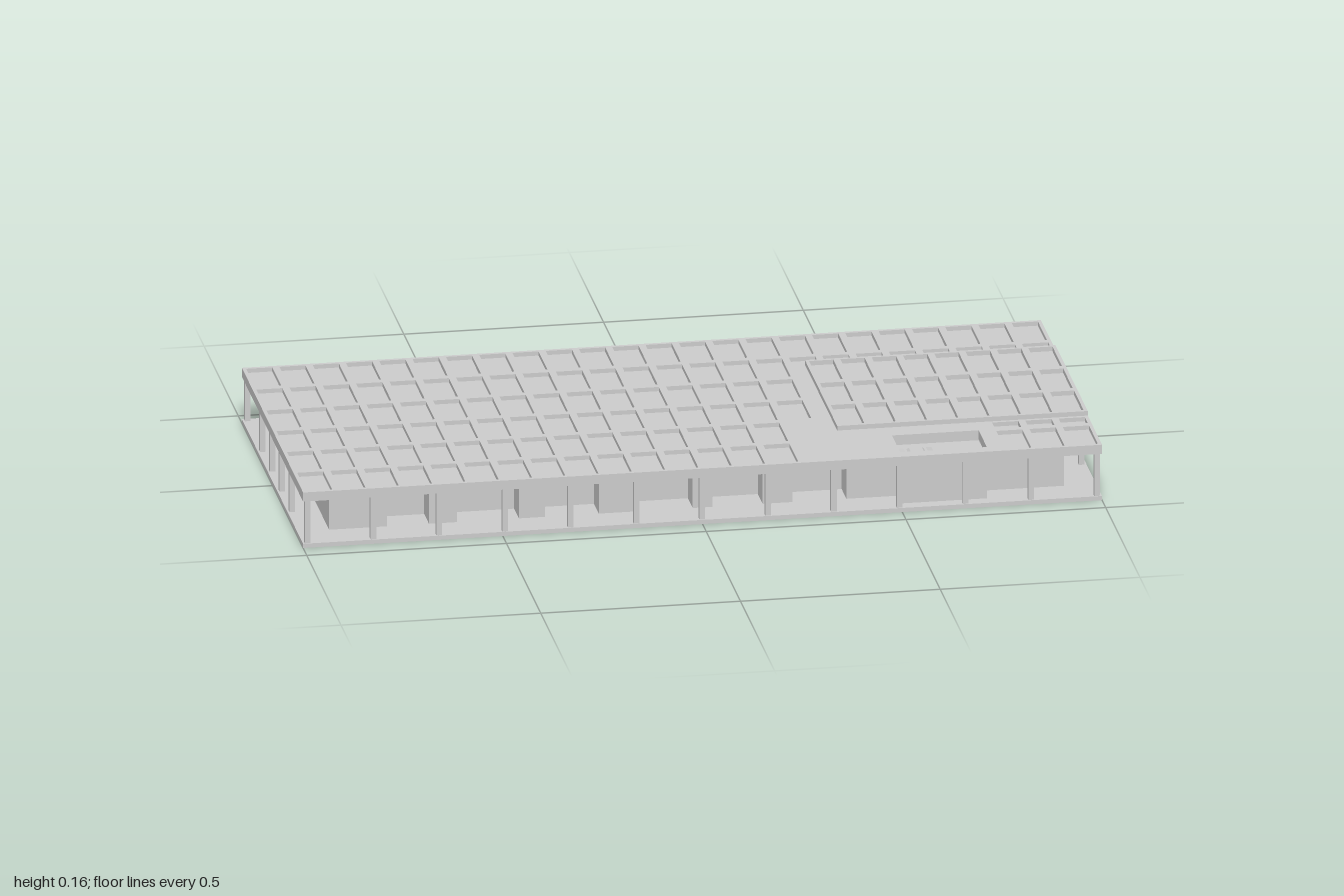
import * as THREE from 'three';

const material = new THREE.MeshStandardMaterial({ color: 0xcccccc, flatShading: true });

// Box given by its lower and upper limits
function box(group, name, x0, x1, y0, y1, z0, z1) {
  const mesh = new THREE.Mesh(new THREE.BoxGeometry(x1 - x0, y1 - y0, z1 - z0), material);
  mesh.position.set((x0 + x1) / 2, (y0 + y1) / 2, (z0 + z1) / 2);
  mesh.name = name;
  group.add(mesh);
}

// Counter-clockwise rectangle in plan; z is mirrored because the slab is turned flat afterwards
function outline(PathType, [x0, x1, z0, z1]) {
  const path = new PathType();
  path.moveTo(x0, -z1);
  path.lineTo(x1, -z1);
  path.lineTo(x1, -z0);
  path.lineTo(x0, -z0);
  path.closePath();
  return path;
}

// Horizontal slab with rectangular openings
function slab(group, name, rect, holes, y0, y1) {
  const shape = outline(THREE.Shape, rect);
  for (const hole of holes) shape.holes.push(outline(THREE.Path, hole));
  const geometry = new THREE.ExtrudeGeometry(shape, { depth: y1 - y0, bevelEnabled: false });
  geometry.rotateX(-Math.PI / 2);
  geometry.translate(0, y0, 0);
  const mesh = new THREE.Mesh(geometry, material);
  mesh.name = name;
  group.add(mesh);
}

// Grid of panel openings inside a rectangle, leaving ribs between them
function panels([x0, x1, z0, z1], columns, rows, rib) {
  const cells = [];
  const dx = (x1 - x0) / columns, dz = (z1 - z0) / rows;
  for (let i = 0; i < columns; i++) {
    for (let j = 0; j < rows; j++) {
      cells.push([x0 + i * dx + rib, x0 + (i + 1) * dx - rib, z0 + j * dz + rib, z0 + (j + 1) * dz - rib]);
    }
  }
  return cells;
}

// Square tapered block, sized by its half widths
function taper(group, name, bottom, top, x, y0, y1, z) {
  const geometry = new THREE.CylinderGeometry(top * Math.SQRT2, bottom * Math.SQRT2, y1 - y0, 4);
  geometry.rotateY(Math.PI / 4);
  const mesh = new THREE.Mesh(geometry, material);
  mesh.position.set(x, (y0 + y1) / 2, z);
  mesh.name = name;
  group.add(mesh);
}

export function createModel() {
  const model = new THREE.Group();
  model.name = 'pavilion';
  const W = 1, D = 0.447;
  const floorTop = 0.011, ceiling = 0.122, panelFloor = 0.135, roofTop = 0.146, upperTop = 0.158;
  const court = [0.5, 0.717, 0.295, 0.415];
  const upper = [0.373, W, -0.235, 0.238];

  box(model, 'floorSlab', -W, W, 0, floorTop, -D, D);

  // Slim columns around the edge
  const columns = new THREE.Group();
  columns.name = 'columns';
  const r = 0.007, colX = 0.988, colZ = 0.437;
  const column = (x, z) => box(columns, 'column', x - r, x + r, floorTop, ceiling, z - r, z + r);
  for (let i = 0; i <= 12; i++) {
    const x = -colX + (i * 2 * colX) / 12;
    column(x, colZ);
    column(x, -colZ);
  }
  for (const z of [0.214, 0.068, -0.076, -0.217]) {
    column(colX, z);
    column(-colX, z);
  }
  model.add(columns);

  // Recessed rooms with projecting bays
  const rooms = new THREE.Group();
  rooms.name = 'rooms';
  box(rooms, 'core', -0.895, 0.895, floorTop, ceiling, -0.335, 0.29);
  for (const s of [-1, 1]) {
    box(rooms, 'endRoom', s * 0.9 - 0.02, s * 0.9 + 0.02, floorTop, 0.108, -0.312, 0.31);
  }
  const bays = [[-0.92, -0.775], [-0.67, -0.6], [-0.445, -0.38], [-0.245, -0.155], [-0.01, 0.04],
    [0.165, 0.24], [0.375, 0.5], [0.715, 0.92]];
  for (const [x0, x1] of bays) {
    box(rooms, 'frontBay', x0, x1, floorTop, 0.108, 0.28, 0.36);
    box(rooms, 'backBay', x0, x1, floorTop, 0.108, -0.36, -0.3);
  }
  model.add(rooms);

  // Block below the court opening with a stepped, tapered cap
  box(model, 'courtBlock', 0.5, 0.717, floorTop, 0.118, 0.29, 0.415);
  taper(model, 'courtCapBase', 0.045, 0.028, 0.55, 0.118, 0.125, 0.362);
  taper(model, 'courtCapTop', 0.022, 0.016, 0.55, 0.125, 0.13, 0.362);

  // Roof deck, pierced by the court
  slab(model, 'roofDeck', [-W, W, -D, D], [court], ceiling, panelFloor);

  // Ribs around sunken roof panels, clipped at the upper roof and plain around the court
  const rib = 0.009;
  const cells = [];
  for (const [x0, x1, z0, z1] of panels([-W, W, -D, D], 24, 6, rib)) {
    let a = z0, b = z1;
    if (x1 > 0.25 && x0 < 0.75 && z1 > 0.24) continue;
    if (x1 > upper[0] - rib) {
      if (a > 0) a = Math.max(a, upper[3] + rib);
      else b = Math.min(b, upper[2] - rib);
    }
    if (b - a > 0.02) cells.push([x0, x1, a, b]);
  }
  slab(model, 'roofRibs', [-W, W, -D, D], [...cells, court], panelFloor, roofTop);

  // Raised roof section whose panels are sunk to the main roof
  slab(model, 'upperRoofRibs', upper, panels(upper, 8, 3, rib), roofTop, upperTop);

  return model;
}
